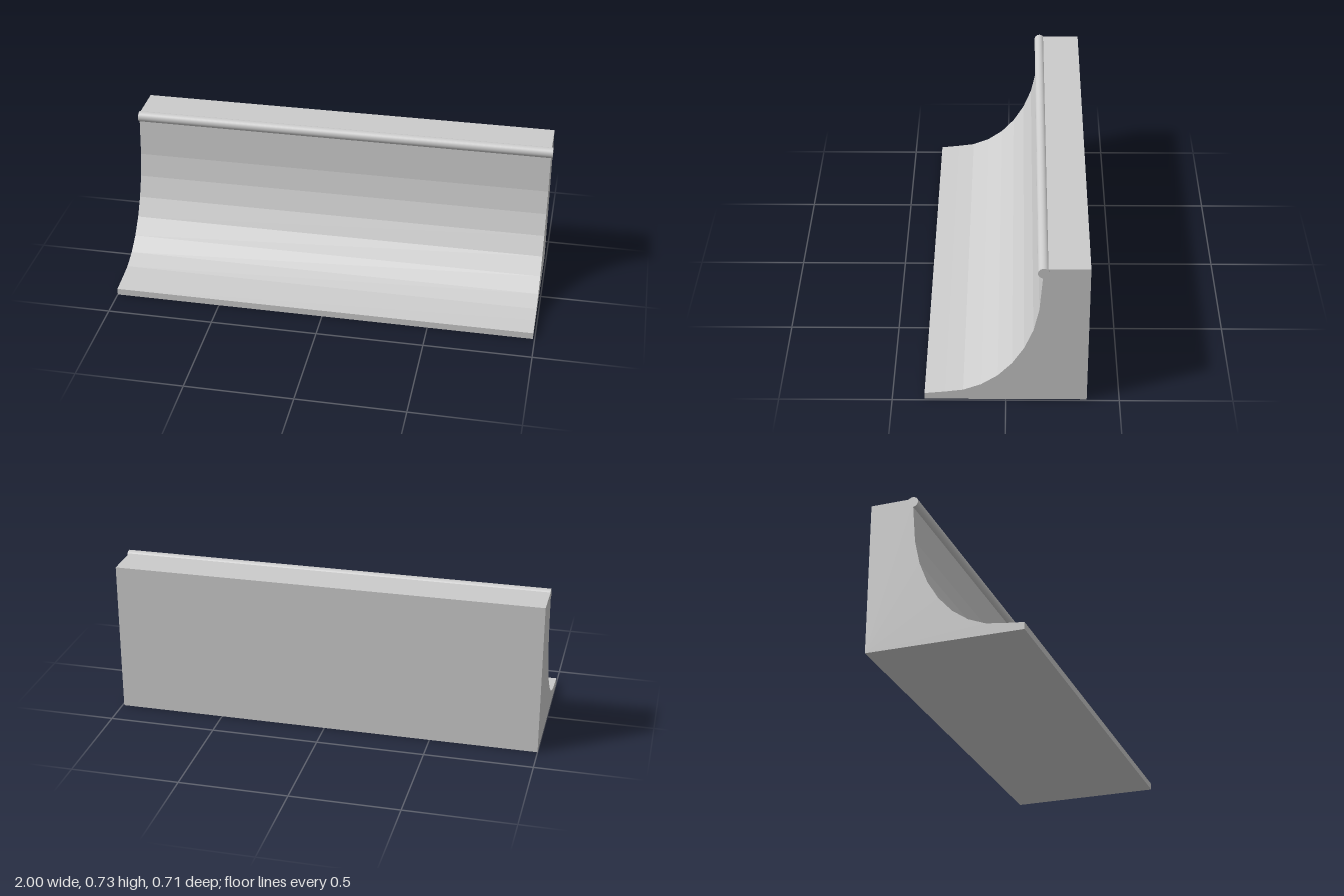
import * as THREE from 'three';

// Curved ramp face in (z, y), from the front lip up to the top edge
const RAMP = [
  [0.357, 0.032], [0.265, 0.042], [0.187, 0.053], [0.108, 0.085], [0.035, 0.137],
  [-0.029, 0.208], [-0.08, 0.292], [-0.119, 0.39], [-0.143, 0.5], [-0.159, 0.7], [-0.16, 0.716],
];
const BACK = -0.357;
const RIGHT = -1;
const BODY_LEFT = 0.992;
const RAIL_LEFT = 1;

export function createModel() {
  const group = new THREE.Group();
  group.name = 'quarterPipeRamp';
  const material = new THREE.MeshStandardMaterial({ color: 0xcccccc });

  // Ramp body: side profile extruded across the width
  const profile = new THREE.Shape([
    [BACK, 0], [0.357, 0], ...RAMP, [BACK, 0.716],
  ].map(([z, y]) => new THREE.Vector2(z, y)));
  const bodyGeometry = new THREE.ExtrudeGeometry(profile, {
    depth: BODY_LEFT - RIGHT, bevelEnabled: false,
  });
  bodyGeometry.rotateY(-Math.PI / 2).translate(BODY_LEFT, 0, 0);
  const body = new THREE.Mesh(bodyGeometry, material);
  body.name = 'rampBody';
  group.add(body);

  // Round coping rail along the top edge
  const railGeometry = new THREE.CylinderGeometry(0.025, 0.025, RAIL_LEFT - RIGHT, 32);
  railGeometry.rotateZ(Math.PI / 2);
  const rail = new THREE.Mesh(railGeometry, material);
  rail.name = 'copingRail';
  rail.position.set((RAIL_LEFT + RIGHT) / 2, 0.7, -0.16);
  group.add(rail);

  return group;
}
